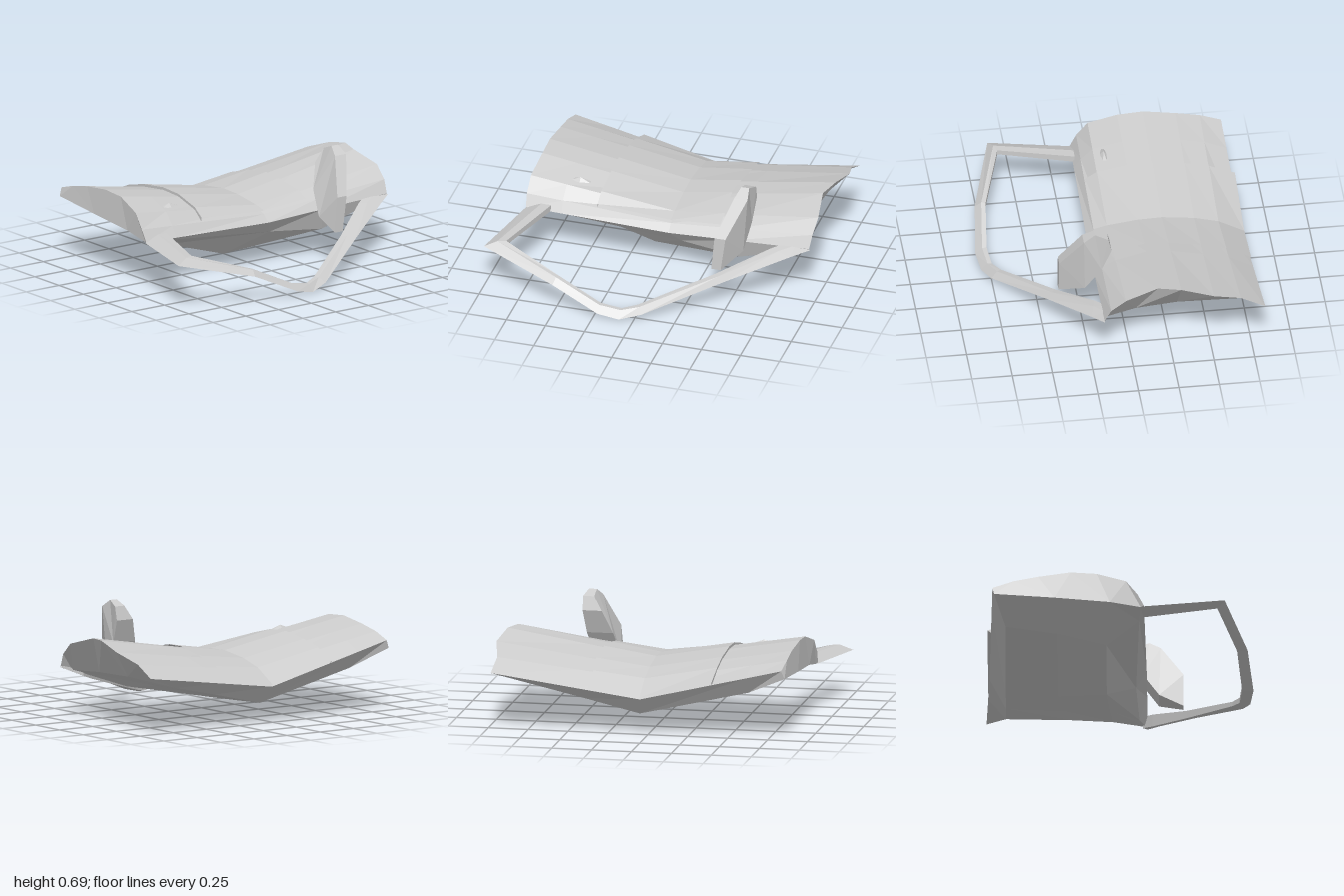
import * as THREE from 'three';

const material = new THREE.MeshStandardMaterial({ color: 0xcccccc, flatShading: true, side: THREE.DoubleSide });

// Skins a row of rings of [x, y, z] points; closed rings get zigzag end caps
function loft(name, rings, closed = true) {
  const pos = [];
  const tri = (...pts) => pts.forEach((p) => pos.push(...p));
  const n = rings[0].length;
  const span = closed ? n : n - 1;
  for (let s = 0; s < rings.length - 1; s++) {
    for (let j = 0; j < span; j++) {
      const k = (j + 1) % n;
      const [a, b, c, d] = [rings[s][j], rings[s + 1][j], rings[s + 1][k], rings[s][k]];
      tri(a, b, c);
      tri(a, c, d);
    }
  }
  // Two steps along the start of the ring for each step back from its end
  const cap = (ring, flip) => {
    for (let i = 0, j = n - 1, step = 0; j - i > 1; step++) {
      const t = step % 3 === 2 ? [i, j - 1, j--] : [i, ++i, j];
      if (flip) t.reverse();
      tri(...t.map((v) => ring[v]));
    }
  };
  if (closed) {
    cap(rings[0], false);
    cap(rings[rings.length - 1], true);
  }
  const geo = new THREE.BufferGeometry();
  geo.setAttribute('position', new THREE.Float32BufferAttribute(pos, 3));
  geo.computeVertexNormals();
  const mesh = new THREE.Mesh(geo, material);
  mesh.name = name;
  return mesh;
}

// Arched top sections, front to back: left end, valley, right end
const archL = [[-0.88, 0.3, 0.15], [-0.885, 0.375, 0.11], [-0.88, 0.465, 0.04], [-0.86, 0.525, -0.14],
  [-0.86, 0.535, -0.3], [-0.85, 0.51, -0.5], [-0.85, 0.48, -0.65], [-0.84, 0.44, -0.78]];
const archM = [[0.04, 0.28, 0.165], [0.04, 0.325, 0.12], [0.04, 0.355, 0.04], [0.04, 0.38, -0.15],
  [0.04, 0.385, -0.3], [0.04, 0.36, -0.5], [0.04, 0.32, -0.65], [0.04, 0.23, -0.8]];
const archR = [[0.94, 0.32, 0.17], [0.95, 0.4, 0.13], [0.96, 0.475, 0.04], [0.93, 0.53, -0.16],
  [0.97, 0.535, -0.3], [1.0, 0.49, -0.5], [0.96, 0.43, -0.67], [0.97, 0.36, -0.82]];

const mix = (a, b, t, lift = 0) => a.map((p, i) => p.map((v, k) => v + (b[i][k] - v) * t + (k === 1 ? lift : 0)));

export function createModel() {
  const group = new THREE.Group();
  group.name = 'model';

  // Body: arched top over a faceted keel, lower points run back to front
  group.add(loft('body', [
    [...archL, [-0.86, 0.39, -0.77], [-0.87, 0.36, -0.4], [-0.87, 0.33, -0.06], [-0.87, 0.295, 0.13]],
    [...mix(archL, archM, 0.25), [-0.62, 0.28, -0.7], [-0.6, 0.24, -0.38], [-0.55, 0.185, -0.08], [-0.7, 0.28, 0.12]],
    [...archM, [0.06, 0.12, -0.7], [-0.02, 0.088, -0.38], [-0.12, 0.055, -0.08], [0.1, 0.2, 0.1]],
    [...mix(archM, archR, 0.45), [0.4, 0.2, -0.7], [0.4, 0.185, -0.35], [0.38, 0.175, -0.06], [0.48, 0.16, 0.12]],
    [...archR, [0.69, 0.265, -0.7], [0.77, 0.295, -0.3], [0.8, 0.295, -0.04], [0.86, 0.29, 0.16]],
  ]));

  // Thin raised cover over the middle of the top
  const cover = [mix(archL, archM, 0.49, 0.016), mix(archM, archM, 0, 0.012), mix(archM, archR, 0.35, 0.01)]
    .map((ring) => ring.slice(1));
  cover.forEach((ring) => {
    ring[0][1] += 0.01;
    ring[6][2] = -0.81;
  });
  group.add(loft('topCover', cover, false));
  group.add(loft('coverEdge', [mix(archL, archM, 0.49).slice(1), cover[0]], false));

  // Guard loop: [outer x, z, inner x, z, top y, outer y, inner bottom y]
  const guard = [
    [-0.88, 0.14, -0.72, 0.14, 0.335, 0.295, 0.295],
    [-1.0, 0.645, -0.87, 0.6, 0.315, 0.28, 0.285],
    [-0.52, 0.785, -0.5, 0.72, 0.2, 0.165, 0.17],
    [-0.22, 0.82, -0.22, 0.75, 0.07, 0.03, 0.035],
    [-0.09, 0.8, -0.09, 0.735, 0.045, 0.0, 0.01],
    [0.04, 0.755, 0.0, 0.69, 0.06, 0.03, 0.03],
    [0.48, 0.47, 0.41, 0.41, 0.19, 0.175, 0.14],
    [0.84, 0.24, 0.7, 0.2, 0.3, 0.285, 0.22],
    [0.95, 0.17, 0.79, 0.14, 0.325, 0.315, 0.25],
  ];
  group.add(loft('guardLoop', guard.map(([ox, oz, ix, iz, top, side, low]) => [
    [ix + (ox - ix) * 0.4, top, iz + (oz - iz) * 0.4], [ix, top, iz], [ix, low, iz], [ox, side, oz],
  ])));

  // Leaning paddle lever: [z, y, left x, right x]
  const paddle = [
    [0.39, 0.21, 0.38, 0.44], [0.39, 0.43, 0.4, 0.47], [0.25, 0.65, 0.485, 0.57], [0.18, 0.695, 0.51, 0.56],
    [0.1, 0.665, 0.51, 0.58], [0.08, 0.58, 0.46, 0.58], [0.14, 0.43, 0.4, 0.565], [0.24, 0.28, 0.37, 0.54],
  ];
  group.add(loft('paddleLever', [2, 3].map((side) => paddle.map((p) => [p[side], p[1], p[0]]))));

  // Small flat stud on the left part of the top
  const stud = new THREE.Mesh(new THREE.ConeGeometry(0.075, 0.025, 6), material);
  stud.name = 'stud';
  stud.scale.z = 0.3;
  stud.position.set(-0.58, 0.455, -0.02);
  group.add(stud);

  return group;
}
